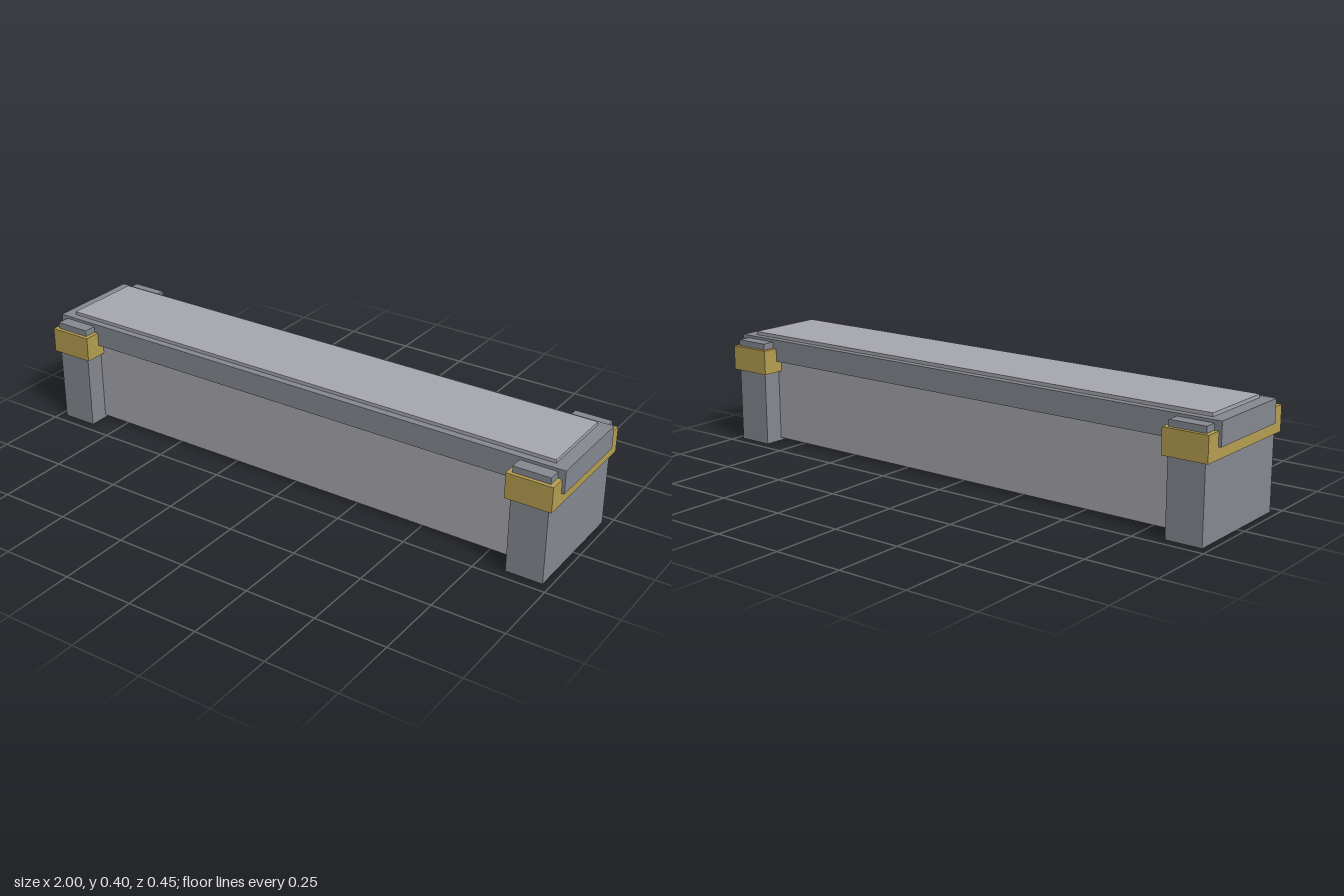
import * as THREE from 'three';

const slate = new THREE.MeshStandardMaterial({ color: 0x868a91 });
const pale = new THREE.MeshStandardMaterial({ color: 0xa8a8b0 });
const gold = new THREE.MeshStandardMaterial({ color: 0xb8a052 });

// Box centred on z, spanning x0..x1 and y0..y1, with half depth hz
function block(name, material, x0, x1, y0, y1, hz) {
  const mesh = new THREE.Mesh(new THREE.BoxGeometry(x1 - x0, y1 - y0, hz * 2), material);
  mesh.position.set((x0 + x1) / 2, (y0 + y1) / 2, 0);
  mesh.name = name;
  return mesh;
}

export function createModel() {
  const model = new THREE.Group();
  model.name = 'chest';

  // Long body, overhanging lid and raised panel on the lid
  model.add(block('body', pale, -0.86, 0.86, 0.01, 0.31, 0.145));
  model.add(block('lid', slate, -1, 1, 0.305, 0.385, 0.169));
  model.add(block('lidPanel', pale, -0.955, 0.955, 0.38, 0.397, 0.144));

  // End piers, each wrapped by a gold band
  for (const [side, s] of [['left', 1], ['right', -1]]) {
    const end = new THREE.Group();
    end.name = side + 'End';
    const pier = block('pier', slate, 0.847, 0.975, 0, 0.375, 0.214);
    const band = block('band', gold, 0.832, 0.99, 0.265, 0.353, 0.227);
    for (const part of [pier, band]) {
      part.position.x *= s;
      end.add(part);
    }
    model.add(end);
  }
  return model;
}
